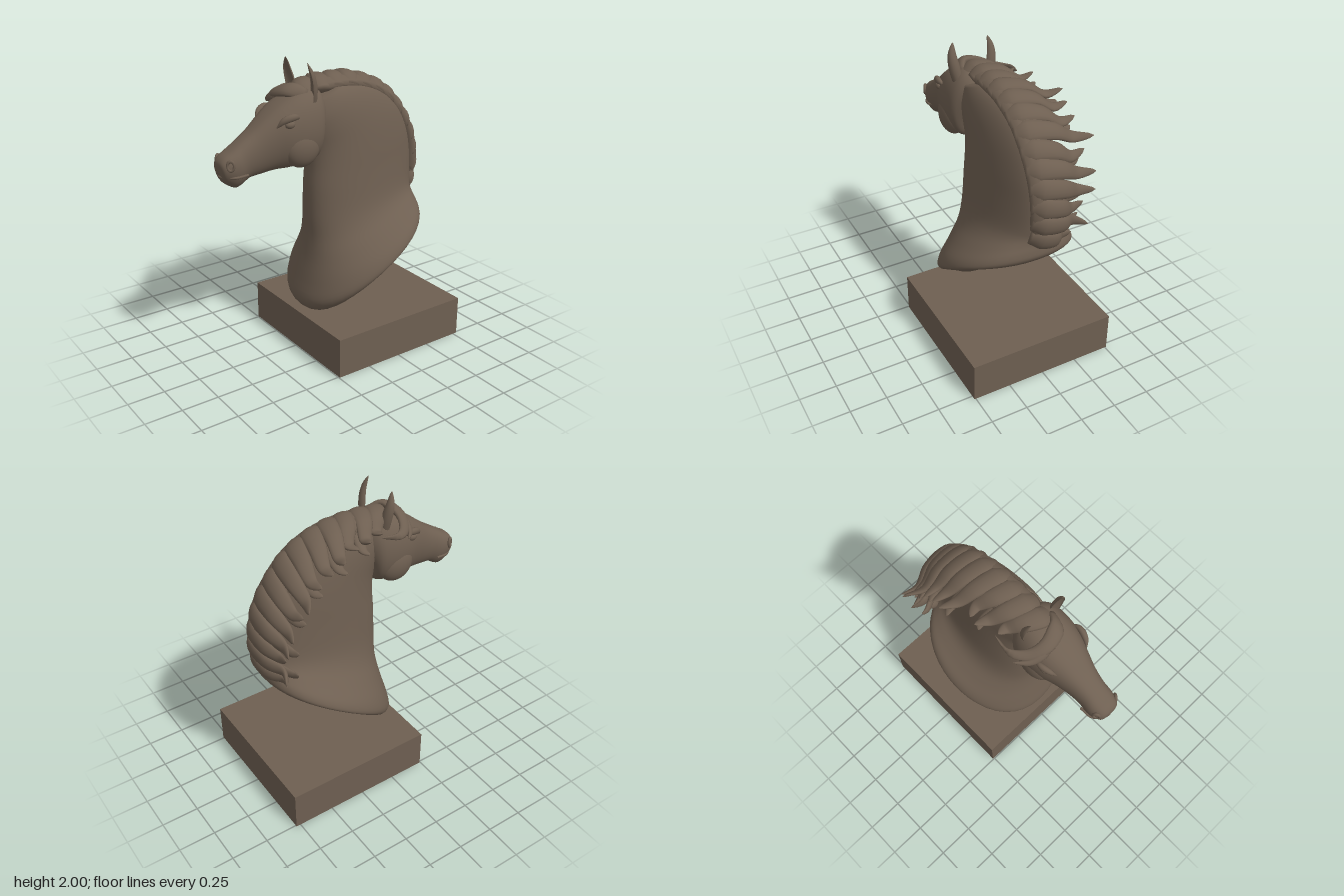
import * as THREE from 'three';

const V = (x, y, z) => new THREE.Vector3(x, y, z);
const bronze = new THREE.MeshStandardMaterial({ color: 0x6e5f51 });
bronze.name = 'dull bronze';

function part(name, geometry, parent) {
  const mesh = new THREE.Mesh(geometry, bronze);
  mesh.name = name;
  parent.add(mesh);
  return mesh;
}

// Closed smooth skin over a list of rings, always facing outward
function skin(rings) {
  const n = rings[0].length, last = (rings.length - 1) * n;
  const pts = rings.flat();
  const centre = ring => ring.reduce((s, p) => s.add(p), V(0, 0, 0)).divideScalar(n);
  pts.push(centre(rings[0]), centre(rings[rings.length - 1]));
  const idx = [];
  for (let j = 0; j < n; j++) {
    const k = (j + 1) % n;
    for (let r = 0; r < last; r += n) idx.push(r + j, r + k, r + n + j, r + k, r + n + k, r + n + j);
    idx.push(pts.length - 2, k, j, pts.length - 1, last + j, last + k);
  }
  let volume = 0;
  const c = V(0, 0, 0);
  for (let i = 0; i < idx.length; i += 3) {
    volume += pts[idx[i]].dot(c.crossVectors(pts[idx[i + 1]], pts[idx[i + 2]]));
  }
  if (volume < 0) idx.reverse();
  const g = new THREE.BufferGeometry().setFromPoints(pts);
  g.setIndex(idx);
  g.computeVertexNormals();
  return g;
}

// Smooth in-between rows of a short table
function smoothRows(rows, steps) {
  const out = [];
  const at = i => rows[Math.max(0, Math.min(rows.length - 1, i))];
  for (let i = 0; i < rows.length - 1; i++) {
    for (let s = 0; s < steps; s++) {
      const t = s / steps;
      out.push(rows[i].map((_, k) => {
        const [a, b, c, d] = [at(i - 1)[k], at(i)[k], at(i + 1)[k], at(i + 2)[k]];
        return b + 0.5 * t * (c - a + t * (2 * a - 5 * b + 4 * c - d + t * (3 * (b - c) + d - a)));
      }));
    }
  }
  out.push(rows[rows.length - 1]);
  return out;
}

// Body from ovals: [z1, y1, z2, y2, half width, narrowing toward end 2, lift of the sides]
function ovals(rows, power) {
  const N = 40;
  return skin(smoothRows(rows, 4).map(([z1, y1, z2, y2, w, pinch, lift]) =>
    Array.from({ length: N }, (_, j) => {
      const a = j / N * Math.PI * 2, c = Math.cos(a), s = Math.sin(a);
      const f = (1 - c) / 2;
      const x = w * Math.sign(s) * Math.abs(s) ** power * (1 - pinch * f);
      return V(x, y1 + (y2 - y1) * f + lift * s * s, z1 + (z2 - z1) * f);
    })));
}

// Flattened tapering strand; cup hollows one face
function strand(points, width, thick, side, taper, cup = 1) {
  const curve = new THREE.CatmullRomCurve3(points), rings = [], M = 20, N = 14;
  for (let i = 0; i <= M; i++) {
    const t = i / M, p = curve.getPoint(t), tan = curve.getTangent(t);
    const u = side.clone().addScaledVector(tan, -side.dot(tan)).normalize();
    const v = tan.clone().cross(u), k = taper(t);
    rings.push(Array.from({ length: N }, (_, j) => {
      const a = j / N * Math.PI * 2, s = Math.sin(a);
      return p.clone().addScaledVector(u, Math.cos(a) * width * k)
        .addScaledVector(v, (s > 0 ? s : s * cup) * thick * k);
    }));
  }
  return skin(rings);
}
const lockTaper = t => 0.03 + 0.97 * Math.min(1, 0.6 + t * 1.6) * Math.pow(1 - t, 0.6);
const leafTaper = t => 0.02 + (0.72 + 1.1 * t) * Math.pow(1 - t, 0.8);

export function createModel() {
  const model = new THREE.Group();
  model.name = 'horseBust';

  // Plinth
  part('plinth', new THREE.BoxGeometry(1.02, 0.275, 1.025), model).position.set(0, 0.1375, -0.268);

  // Neck and flared chest with slanted underside
  part('neck', ovals([
    [0.05, 0.30, -0.60, 0.83, 0.33, 0, 0.12],
    [0.17, 0.285, -0.65, 0.85, 0.405, 0, 0.08],
    [0.225, 0.36, -0.69, 0.90, 0.435, 0, 0.04],
    [0.20, 0.50, -0.69, 0.95, 0.42, 0.05, 0.02],
    [0.165, 0.66, -0.68, 1.00, 0.355, 0.12, 0],
    [0.148, 0.80, -0.68, 1.05, 0.285, 0.2, 0],
    [0.15, 0.95, -0.69, 1.12, 0.245, 0.25, 0],
    [0.148, 1.15, -0.69, 1.28, 0.225, 0.3, 0],
    [0.14, 1.30, -0.66, 1.45, 0.21, 0.3, 0],
    [0.15, 1.42, -0.58, 1.62, 0.195, 0.3, 0],
    [0.19, 1.52, -0.45, 1.74, 0.18, 0.3, 0],
    [0.23, 1.60, -0.28, 1.81, 0.155, 0.25, 0],
    [0.24, 1.70, -0.08, 1.83, 0.11, 0.1, 0],
  ], 0.9), model);

  // Head from poll to muzzle
  const head = new THREE.Group();
  head.name = 'head';
  model.add(head);
  part('skull', ovals([
    [0.04, 1.74, 0.12, 1.42, 0.11, 0, 0],
    [0.12, 1.83, 0.14, 1.36, 0.165, -0.1, 0],
    [0.25, 1.82, 0.24, 1.34, 0.182, -0.06, 0],
    [0.37, 1.76, 0.34, 1.335, 0.175, 0.05, 0],
    [0.47, 1.69, 0.43, 1.335, 0.145, 0.12, 0],
    [0.57, 1.61, 0.52, 1.325, 0.115, 0.12, 0],
    [0.66, 1.55, 0.60, 1.315, 0.102, 0.12, 0],
    [0.72, 1.51, 0.66, 1.28, 0.108, 0.2, 0],
    [0.77, 1.48, 0.70, 1.27, 0.10, 0.25, 0],
    [0.795, 1.45, 0.765, 1.31, 0.075, 0.2, 0],
    [0.80, 1.42, 0.79, 1.36, 0.035, 0, 0],
  ], 0.72), head);

  for (const s of [1, -1]) {
    const tag = s > 0 ? 'left' : 'right';
    // Rounded cheek
    const cheek = part(tag + 'Cheek', new THREE.SphereGeometry(1, 28, 18), head);
    cheek.scale.set(0.08, 0.135, 0.13);
    cheek.position.set(s * 0.115, 1.48, 0.265);
    // Eye under a brow ridge
    const eye = part(tag + 'Eye', new THREE.SphereGeometry(1, 18, 12), head);
    eye.scale.set(0.022, 0.024, 0.034);
    eye.position.set(s * 0.153, 1.645, 0.37);
    part(tag + 'Brow', strand([V(s * 0.15, 1.675, 0.29), V(s * 0.165, 1.692, 0.345),
      V(s * 0.15, 1.675, 0.41), V(s * 0.125, 1.63, 0.45)], 0.022, 0.018, V(0, 1, 0),
    t => 0.1 + Math.sin(t * Math.PI)), head);
    // Nostril ring
    const nostril = part(tag + 'Nostril', new THREE.TorusGeometry(0.026, 0.01, 8, 20), head);
    nostril.position.set(s * 0.082, 1.435, 0.752);
    nostril.rotation.y = s * 0.95;
    nostril.scale.set(0.8, 1.15, 1);
    // Hollow leaf-shaped ear
    part(tag + 'Ear', strand([V(s * 0.11, 1.75, 0.18), V(s * 0.127, 1.84, 0.19),
      V(s * 0.135, 1.92, 0.205), V(s * 0.122, 2.0, 0.222)], 0.045, 0.042,
    V(1, 0, 0.35 * s), leafTaper, -0.3), head);
  }
  // Lower lip line
  part('mouth', new THREE.TubeGeometry(new THREE.CatmullRomCurve3([V(-0.095, 1.36, 0.64),
    V(-0.085, 1.355, 0.73), V(0, 1.355, 0.787), V(0.085, 1.355, 0.73), V(0.095, 1.36, 0.64)]),
  24, 0.009, 6), head);

  // Mane: a ridge along the crest, with locks thrown over to the right
  const mane = new THREE.Group();
  mane.name = 'mane';
  model.add(mane);
  const crest = new THREE.CatmullRomCurve3([[0.24, 1.79], [0.05, 1.815], [-0.2, 1.805], [-0.42, 1.72],
    [-0.57, 1.57], [-0.665, 1.4], [-0.70, 1.2], [-0.675, 1.02], [-0.65, 0.93]].map(([z, y]) => V(0, y, z)));
  part('maneRidge', strand(crest.getSpacedPoints(14).map(p => p.add(V(-0.035, 0, 0))),
    0.115, 0.06, V(1, 0, 0), t => Math.min(1, 0.4 + t * 5, 0.4 + (1 - t) * 4)), mane);

  const count = 13;
  for (let i = 0; i < count; i++) {
    const u = 0.06 + 0.87 * i / (count - 1);
    const p = crest.getPointAt(u), T = crest.getTangentAt(u);
    const N = V(0, -T.z, T.y);
    const wobble = Math.sin(i * 2.4);
    const reach = 0.2 + 0.19 * Math.sin(Math.PI * Math.min(1, u * 0.95)) + 0.035 * wobble;
    const at = (x, n, t) => V(x, 0, 0).add(p).addScaledVector(N, n).addScaledVector(T, t);
    part('maneLock', strand([
      at(0.07, -0.01, -0.03),
      at(0.0, 0.035, -0.02),
      at(-reach * 0.4, 0.03, 0.02),
      at(-reach * 0.72, -0.03, 0.07),
      at(-reach, -0.01 + 0.02 * wobble, 0.075 + 0.03 * wobble),
    ], 0.085, 0.042, T, lockTaper), mane);
    // Thin stray tip beneath every other lock
    if (i % 2) {
      part('strayLock', strand([at(-0.05, 0, 0.04), at(-reach * 0.5, -0.03, 0.08),
        at(-reach * 0.8, -0.08, 0.1), at(-reach * 0.95, -0.09, 0.08)], 0.055, 0.03, T, lockTaper), mane);
    }
  }

  // Forelock sweeping across the brow
  part('forelock', strand([V(0.08, 1.79, 0.2), V(0.03, 1.825, 0.28), V(-0.08, 1.80, 0.315),
    V(-0.18, 1.765, 0.28), V(-0.255, 1.765, 0.19), V(-0.25, 1.79, 0.06)],
  0.065, 0.035, V(0, 0.5, -0.85), lockTaper), mane);
  part('forelockTip', strand([V(0, 1.81, 0.27), V(-0.1, 1.775, 0.33), V(-0.2, 1.735, 0.31),
    V(-0.28, 1.74, 0.24)], 0.045, 0.028, V(0, 0.8, -0.5), lockTaper), mane);

  return model;
}
